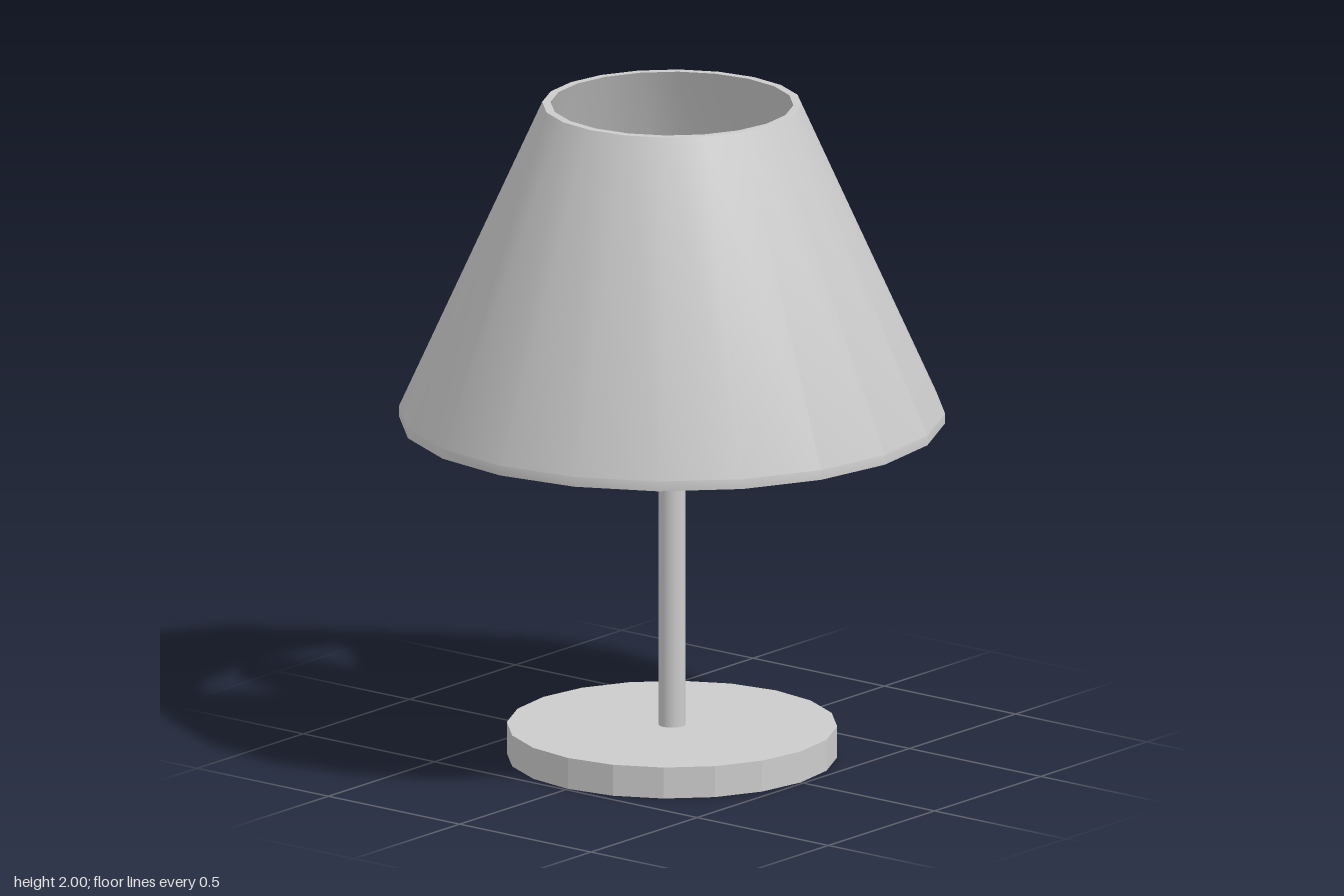
import * as THREE from 'three';
import { toCreasedNormals } from 'three/addons/utils/BufferGeometryUtils.js';

const SIDES = 20;

export function createModel() {
  const lamp = new THREE.Group();
  lamp.name = 'tableLamp';
  const smooth = new THREE.MeshStandardMaterial({ color: 0xcccccc });
  const faceted = new THREE.MeshStandardMaterial({ color: 0xcccccc, flatShading: true });

  const add = (name, geometry, material = smooth, y = 0) => {
    const mesh = new THREE.Mesh(geometry, material);
    mesh.name = name;
    mesh.position.y = y;
    lamp.add(mesh);
    return mesh;
  };
  const rod = (radius, bottom, top) =>
    new THREE.CylinderGeometry(radius, radius, top - bottom, SIDES).translate(0, (bottom + top) / 2, 0);
  const lathe = (points) =>
    new THREE.LatheGeometry(points.map(([r, y]) => new THREE.Vector2(r, y)), SIDES);

  // Base, pole and bulb socket
  add('base', rod(0.49, 0, 0.095), faceted);
  add('pole', rod(0.04, 0.095, 1.2));
  add('socket', rod(0.087, 1.19, 1.55));

  // Bulb: round head narrowing into the socket
  const bulb = [[0.08, 1.54]];
  for (let i = 0; i <= 9; i++) {
    const a = -Math.PI / 4 + (i / 9) * Math.PI * 0.75;
    bulb.push([i === 9 ? 0 : 0.165 * Math.cos(a), 1.69 + 0.165 * Math.sin(a)]);
  }
  add('bulb', lathe(bulb), faceted);

  // Thick-walled shade with a short upright lip at the bottom
  const shade = lathe([
    [0.77, 1.03], [0.81, 1.03], [0.81, 1.06], [0.385, 2],
    [0.36, 2], [0.77, 1.06], [0.77, 1.03],
  ]);
  add('shade', toCreasedNormals(shade, 0.5));

  // Sloping spokes from the socket out to corners of the shade rim
  const hub = new THREE.Vector3(0, 1.2, 0);
  for (const degrees of [90, 198, 324]) {
    const a = THREE.MathUtils.degToRad(degrees);
    const rim = new THREE.Vector3(0.78 * Math.cos(a), 1.05, 0.78 * Math.sin(a));
    const spoke = add('shadeSpoke', new THREE.BoxGeometry(0.035, 0.03, hub.distanceTo(rim)));
    spoke.position.copy(hub).lerp(rim, 0.5);
    spoke.lookAt(rim);
  }
  return lamp;
}
